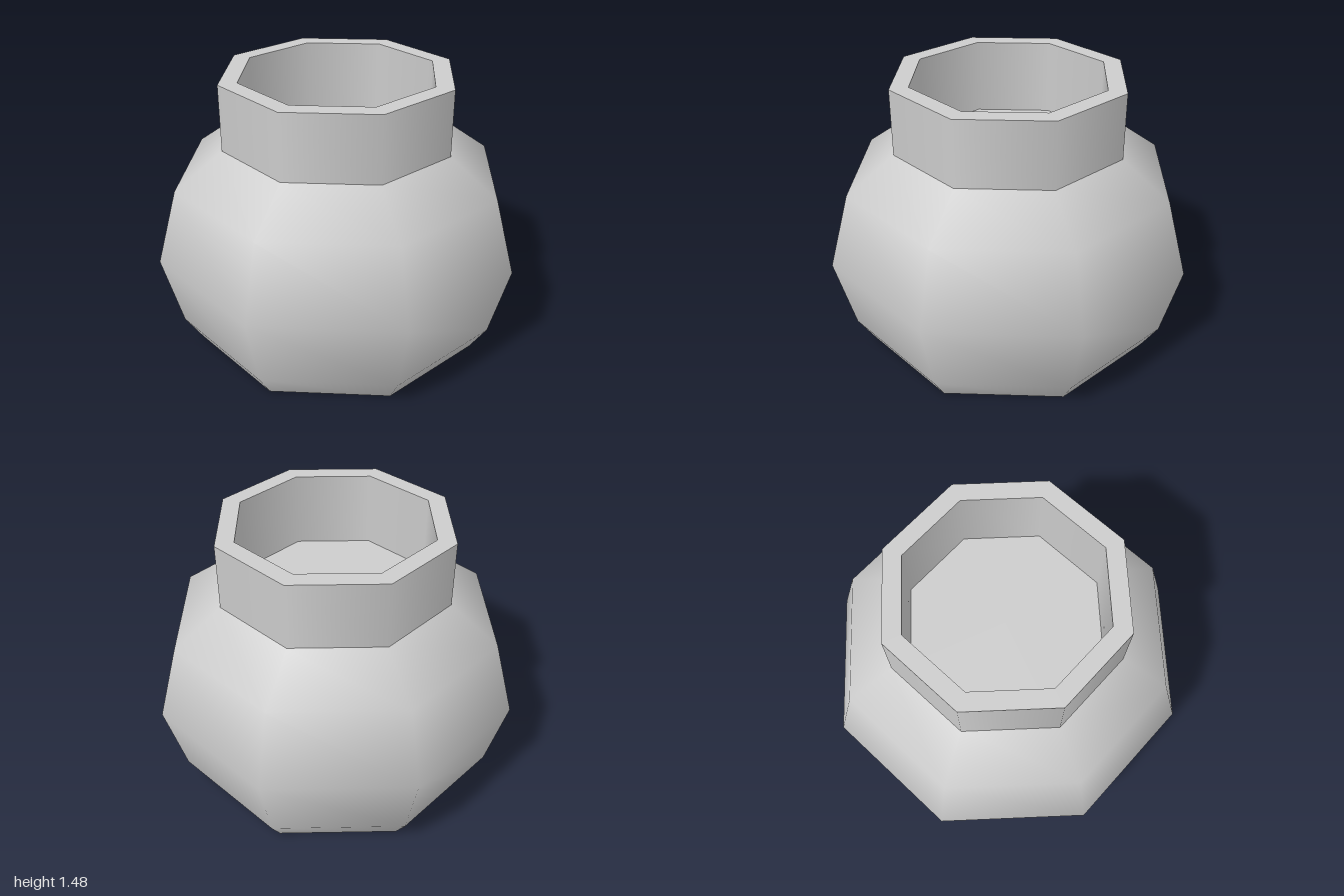
import * as THREE from 'three';

const SIDES = 8;

export function createModel() {
  const group = new THREE.Group();
  group.name = 'pot';
  const clay = new THREE.MeshStandardMaterial({ color: 0xcccccc });
  clay.name = 'pale grey clay';

  // Smooth octagonal band turned from [radius, height] points; bands meet at sharp edges
  const band = (name, points) => {
    const profile = points.map(([r, y]) => new THREE.Vector2(r, y));
    const mesh = new THREE.Mesh(new THREE.LatheGeometry(profile, SIDES), clay);
    mesh.name = name;
    group.add(mesh);
  };

  // Rounded belly and its flat underside
  band('base', [[0, 0], [0.81, 0]]);
  band('body', [[0.81, 0], [0.9, 0.14], [1, 0.535], [0.887, 0.932], [0.628, 1.122]]);

  // Upright collar with a thick rim and a shallow closed mouth
  band('neckOuter', [[0.628, 1.122], [0.628, 1.475]]);
  band('rim', [[0.628, 1.475], [0.528, 1.475]]);
  band('neckInner', [[0.528, 1.475], [0.528, 1.07]]);
  band('mouthFloor', [[0.528, 1.07], [0, 1.07]]);

  return group;
}
